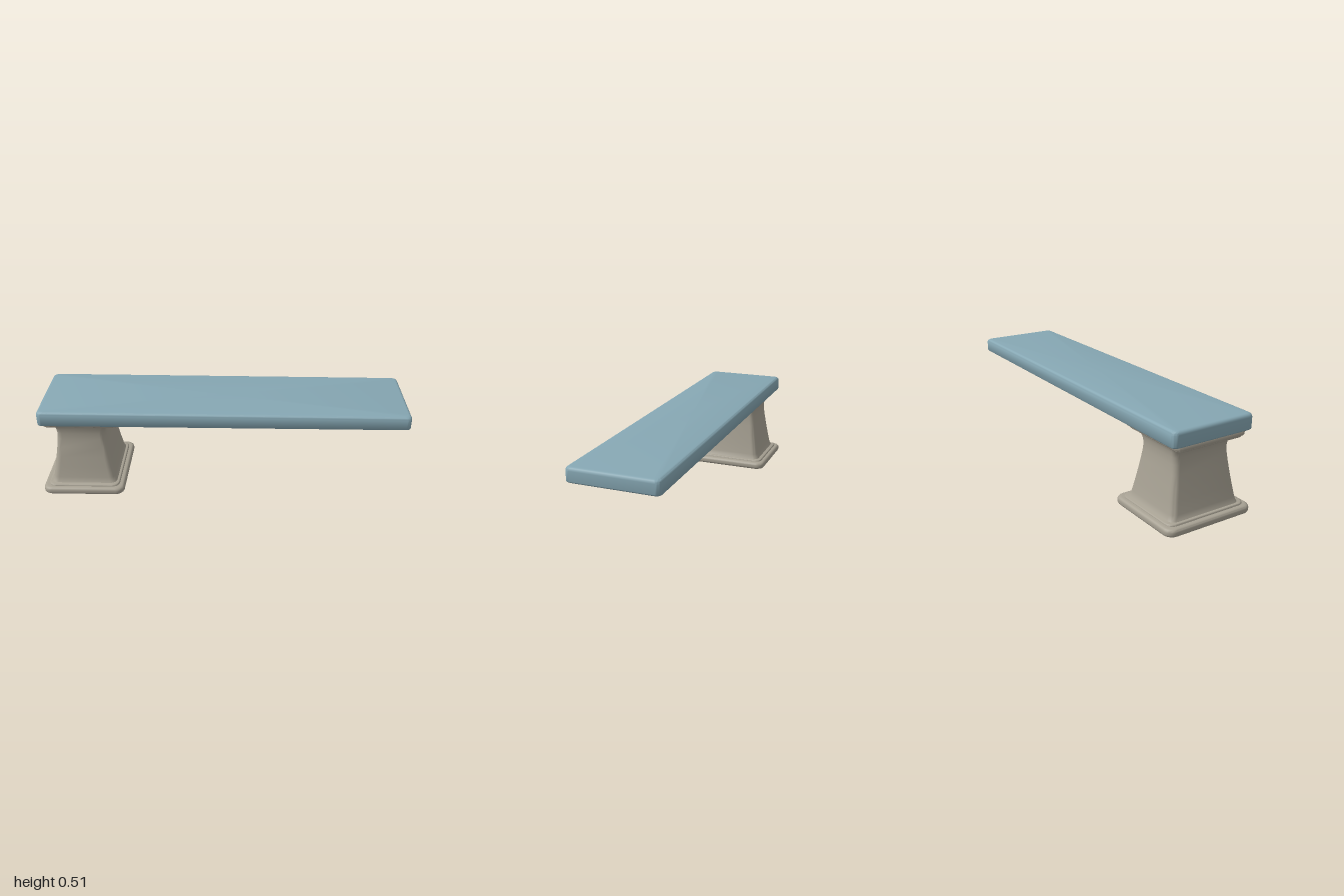
import * as THREE from 'three';
import { toCreasedNormals } from 'three/addons/utils/BufferGeometryUtils.js';

const STEPS = 6; // segments per rounded corner

// Closed solid through rounded-rectangle sections, each [y, halfX, halfZ, cornerRadius], bottom to top
function loft(rows, crease = 0.7) {
  const pos = [], index = [], n = 4 * (STEPS + 1);
  for (const [y, hx, hz, r] of rows) {
    for (let q = 0; q < 4; q++) {
      const sx = q === 0 || q === 3 ? 1 : -1, sz = q < 2 ? 1 : -1;
      for (let s = 0; s <= STEPS; s++) {
        const t = (q + s / STEPS) * Math.PI / 2;
        pos.push(sx * (hx - r) + r * Math.cos(t), y, sz * (hz - r) + r * Math.sin(t));
      }
    }
  }
  const last = rows.length - 1, bottom = rows.length * n, top = bottom + 1;
  pos.push(0, rows[0][0], 0, 0, rows[last][0], 0);
  for (let i = 0; i < n; i++) {
    const k = (i + 1) % n;
    for (let j = 0; j < last; j++) {
      const a = j * n + i, b = j * n + k;
      index.push(a, a + n, b, b, a + n, b + n);
    }
    index.push(bottom, i, k, top, last * n + k, last * n + i);
  }
  const g = new THREE.BufferGeometry();
  g.setAttribute('position', new THREE.Float32BufferAttribute(pos, 3));
  g.setIndex(index);
  return toCreasedNormals(g, crease);
}

// Sections of a slab with softly rounded lower and upper edges
function slabRows(y0, y1, hx, hz, r, lower, upper) {
  const rows = [];
  for (const [edge, y, dir] of [[lower, y0 + lower, -1], [upper, y1 - upper, 1]]) {
    for (let s = 0; s <= 4; s++) {
      const t = (dir < 0 ? 4 - s : s) / 4 * Math.PI / 2;
      const inset = edge * (1 - Math.cos(t));
      rows.push([y + dir * edge * Math.sin(t), hx - inset, hz - inset, r]);
    }
  }
  return rows;
}

export function createModel() {
  const blue = new THREE.MeshStandardMaterial({ color: 0x86a7b3 });
  blue.name = 'boardBlue';
  const stone = new THREE.MeshStandardMaterial({ color: 0xa8a294 });
  stone.name = 'warmGrey';
  const dark = new THREE.MeshStandardMaterial({ color: 0x4a5a5c });
  dark.name = 'undersideDark';

  const model = new THREE.Group();
  model.name = 'divingBoard';
  const add = (parent, name, geometry, material, x = 0) => {
    const mesh = new THREE.Mesh(geometry, material);
    mesh.name = name;
    mesh.position.x = x;
    parent.add(mesh);
  };

  // Plank, a little thinner toward its free end
  const plank = loft(slabRows(0.432, 0.511, 0.99, 0.235, 0.025, 0.008, 0.018));
  const p = plank.attributes.position;
  for (let i = 0; i < p.count; i++) {
    if (p.getY(i) > 0.47) p.setY(i, p.getY(i) - 0.003 * p.getX(i));
  }
  add(model, 'plank', plank, blue, 0.005);

  // Painted underside with a rounded grey grip panel
  add(model, 'underside', loft([[0.4305, 0.981, 0.226, 0.02], [0.434, 0.981, 0.226, 0.02]]), dark, 0.005);
  add(model, 'undersidePanel', loft([[0.429, 0.56, 0.155, 0.05], [0.432, 0.56, 0.155, 0.05]]), stone, -0.11);

  // Pedestal: foot, step, flared column and cap
  const pedestal = new THREE.Group();
  pedestal.name = 'pedestal';
  pedestal.position.x = -0.775;
  model.add(pedestal);
  add(pedestal, 'foot', loft(slabRows(0, 0.042, 0.225, 0.254, 0.045, 0.014, 0.016)), stone);
  add(pedestal, 'footStep', loft(slabRows(0.035, 0.051, 0.198, 0.23, 0.04, 0.002, 0.008)), stone);
  add(pedestal, 'column', loft([
    [0.04, 0.19, 0.216, 0.035],
    [0.055, 0.179, 0.205, 0.035],
    [0.08, 0.173, 0.198, 0.034],
    [0.14, 0.161, 0.188, 0.033],
    [0.2, 0.151, 0.178, 0.032],
    [0.26, 0.141, 0.169, 0.03],
    [0.31, 0.134, 0.163, 0.03],
    [0.345, 0.133, 0.162, 0.03],
    [0.37, 0.137, 0.165, 0.03],
    [0.39, 0.148, 0.17, 0.03],
    [0.402, 0.165, 0.178, 0.03],
    [0.41, 0.175, 0.185, 0.03],
  ], 0.9), stone);
  add(pedestal, 'capUnderside', loft(slabRows(0.4, 0.42, 0.2, 0.195, 0.03, 0.007, 0.002)), stone, 0.004);
  add(pedestal, 'cap', loft(slabRows(0.408, 0.436, 0.216, 0.203, 0.03, 0.01, 0.003)), stone, 0.012);

  return model;
}
